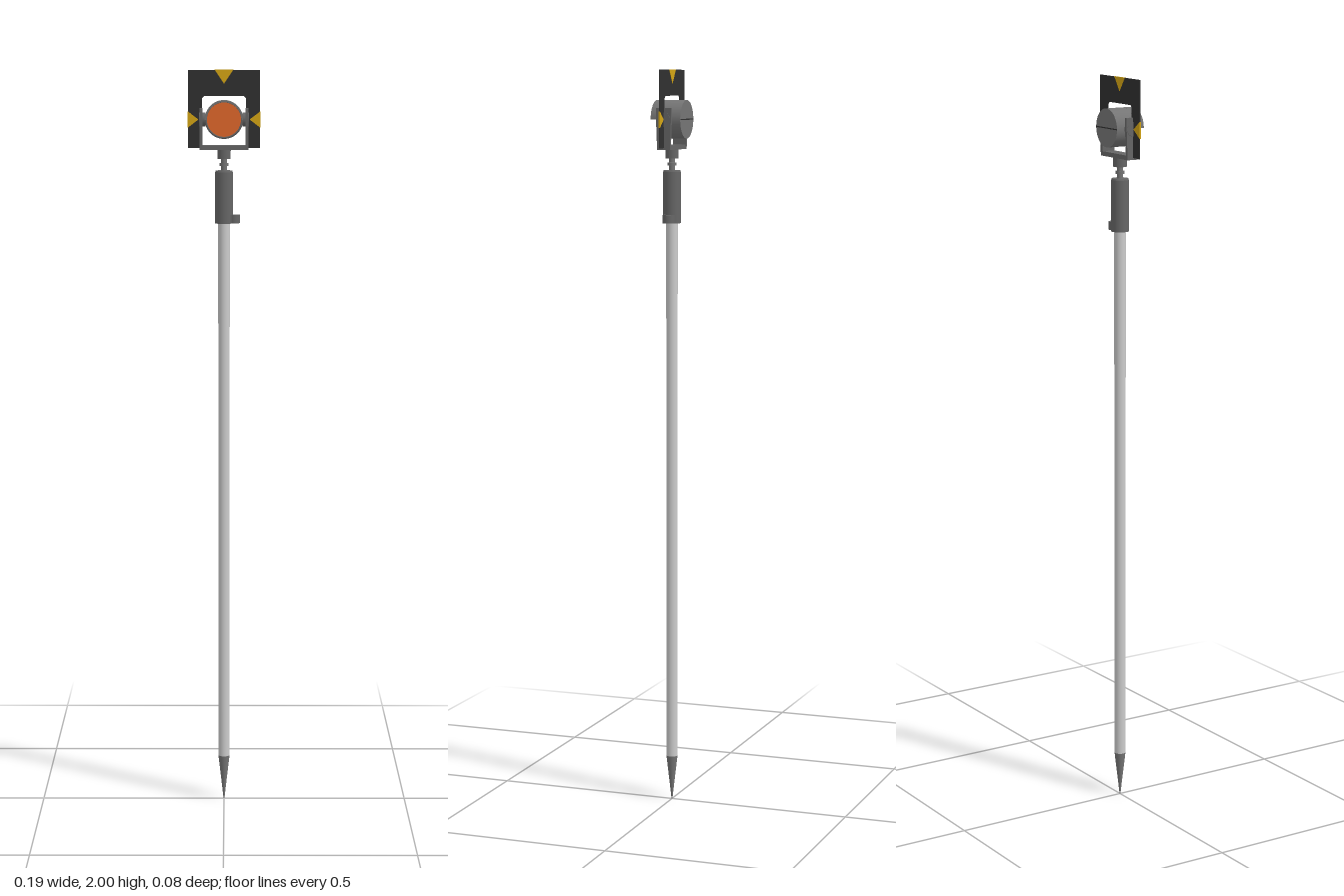
import * as THREE from 'three';

const paint = (color) => new THREE.MeshStandardMaterial({ color, side: THREE.DoubleSide });

export function createModel() {
  const group = new THREE.Group();
  const steel = paint(0xcccccc), grey = paint(0x757575), darkGrey = paint(0x666666), black = paint(0x303030);
  const orange = paint(0xe0672c), yellow = paint(0xd4a514);
  const prismY = 1.869;

  const add = (name, geometry, material, x = 0, y = 0, z = 0) => {
    const mesh = new THREE.Mesh(geometry, material);
    mesh.name = name;
    mesh.position.set(x, y, z);
    group.add(mesh);
    return mesh;
  };
  const rod = (name, rTop, rBottom, y0, y1, material) =>
    add(name, new THREE.CylinderGeometry(rTop, rBottom, y1 - y0, 32), material, 0, (y0 + y1) / 2);

  // Pole and its ground spike
  rod('pole', 0.0155, 0.0155, 0.124, 1.595, steel);
  rod('spikeTip', 0.0155, 0.0012, 0, 0.124, grey);

  // Grip, level vial and neck
  rod('grip', 0.0235, 0.0235, 1.593, 1.73, darkGrey);
  rod('gripShoulder', 0.022, 0.0235, 1.73, 1.734, darkGrey);
  add('levelArm', new THREE.BoxGeometry(0.024, 0.022, 0.03), darkGrey, 0.018, 1.605);
  add('levelVial', new THREE.CylinderGeometry(0.016, 0.016, 0.022, 24), darkGrey, 0.027, 1.605);
  rod('neck', 0.008, 0.008, 1.73, 1.77, grey);
  rod('neckCollar', 0.012, 0.012, 1.746, 1.754, grey);

  // U-shaped yoke with a pivot on each side
  rod('yokeSocket', 0.018, 0.018, 1.765, 1.79, darkGrey);
  add('yokeBase', new THREE.BoxGeometry(0.13, 0.012, 0.036), darkGrey, 0, 1.795);
  for (const side of [-1, 1]) {
    const arm = new THREE.Shape();
    arm.moveTo(-0.018, 1.789 - prismY);
    arm.lineTo(0.018, 1.789 - prismY);
    arm.lineTo(0.021, 0);
    arm.lineTo(0.021, 0.03);
    arm.lineTo(-0.021, 0.03);
    arm.lineTo(-0.021, 0);
    arm.closePath();
    const plate = add('yokeArm', new THREE.ExtrudeGeometry(arm, { depth: 0.008, bevelEnabled: false }),
      darkGrey, side * 0.061 - 0.004, prismY);
    plate.rotation.y = Math.PI / 2;
    const pivot = add('pivot', new THREE.CylinderGeometry(0.019, 0.019, 0.017, 24), darkGrey, side * 0.0575, prismY);
    pivot.rotation.z = Math.PI / 2;
  }

  // Prism housing: closed body at the back, rim and half-round hood in front
  const body = add('prismHousing', new THREE.CylinderGeometry(0.051, 0.051, 0.056, 48), grey, 0, prismY, -0.014);
  body.rotation.x = Math.PI / 2;
  add('backSeam', new THREE.BoxGeometry(0.1, 0.003, 0.001), black, 0, prismY, -0.042);
  const hoodShape = new THREE.Shape();
  hoodShape.absarc(0, 0, 0.051, 0, Math.PI);
  hoodShape.absarc(0, 0, 0.046, Math.PI, 0, true);
  hoodShape.closePath();
  add('prismHood', new THREE.ExtrudeGeometry(hoodShape, { depth: 0.028, bevelEnabled: false, curveSegments: 32 }),
    grey, 0, prismY, 0.0135);
  add('prismRim', new THREE.TorusGeometry(0.0475, 0.0034, 8, 48), darkGrey, 0, prismY, 0.014);
  const lens = add('lens', new THREE.CylinderGeometry(0.0455, 0.0455, 0.004, 48), orange, 0, prismY, 0.0145);
  lens.rotation.x = Math.PI / 2;

  // Sighting plate, open at the bottom around the prism
  const outline = new THREE.Shape();
  [[-0.096, 1.794], [-0.096, 1.9995], [0.096, 1.9995], [0.096, 1.794], [0.058, 1.794],
    [0.058, 1.925], [0.052, 1.931], [-0.052, 1.931], [-0.058, 1.925], [-0.058, 1.794]]
    .forEach(([x, y], i) => (i ? outline.lineTo(x, y) : outline.moveTo(x, y)));
  outline.closePath();
  add('sightingPlate', new THREE.ExtrudeGeometry(outline, { depth: 0.002, bevelEnabled: false }), black, 0, 0, -0.001);

  // Yellow aiming marks, showing on both faces
  const mark = (points) => {
    const shape = new THREE.Shape(points.map(([x, y]) => new THREE.Vector2(x, y)));
    add('aimingMark', new THREE.ExtrudeGeometry(shape, { depth: 0.004, bevelEnabled: false }), yellow, 0, 0, -0.002);
  };
  mark([[-0.025, 2], [0, 1.963], [0.025, 2]]);
  for (const s of [-1, 1]) mark([[s * 0.097, prismY - 0.022], [s * 0.068, prismY], [s * 0.097, prismY + 0.022]]);

  return group;
}
